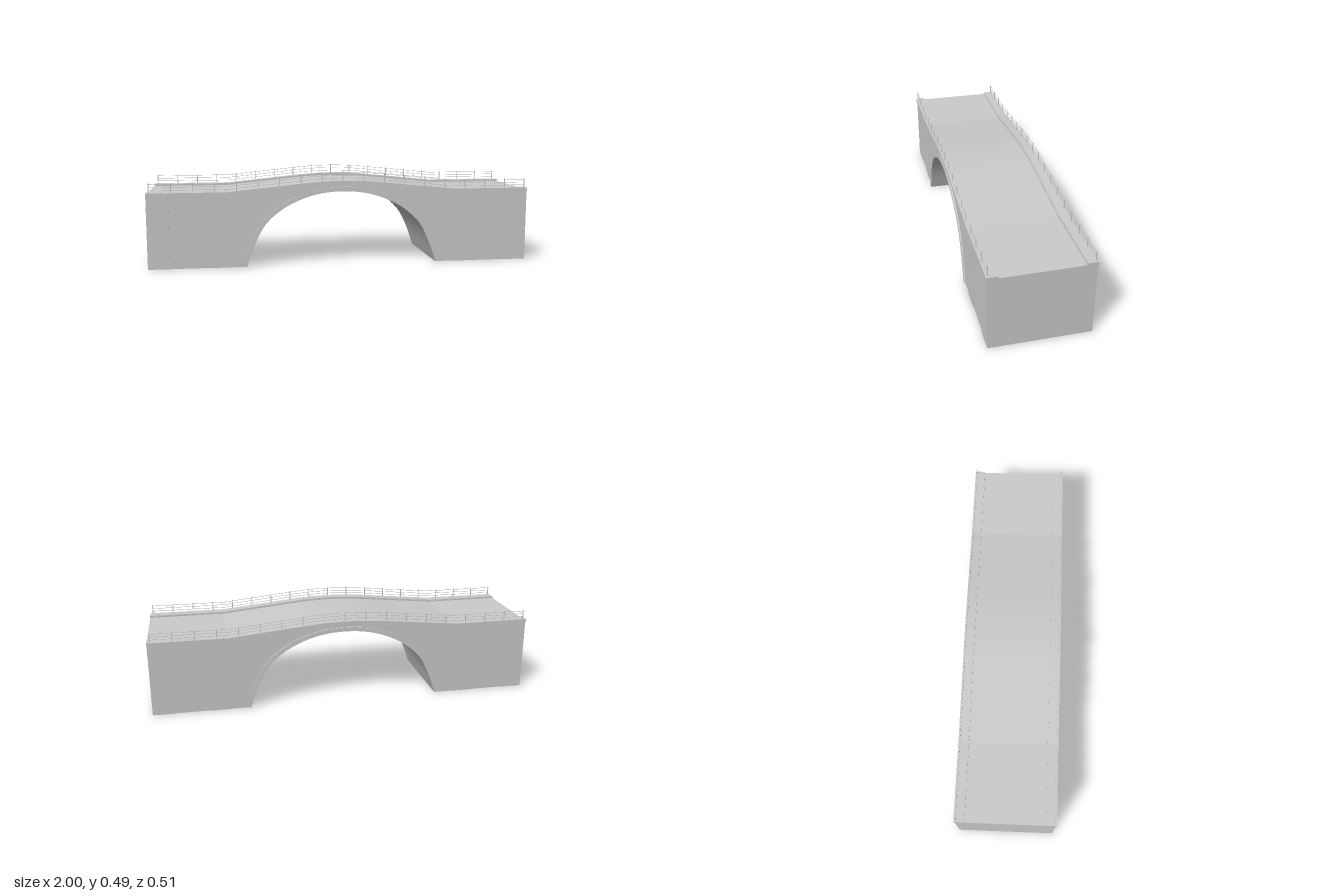
import * as THREE from 'three';

const material = new THREE.MeshStandardMaterial({ color: 0xcccccc, flatShading: true });

// Height of the kerb top: level ends, straight ramps, rounded crown
function crest(x) {
  const a = Math.abs(x);
  if (a >= 0.6) return 0.39;
  if (a >= 0.2) return 0.39 + (0.6 - a) * 0.1;
  return 0.44 - 0.25 * a * a;
}

// Stations along the bridge where the crest changes direction
const stations = [-1, -0.6];
for (let i = -8; i <= 8; i++) stations.push(i * 0.025);
stations.push(0.6, 1);

// Half arch from springing to crown, mirrored into a full span
const half = [[0.5, 0], [0.452, 0.13], [0.4, 0.222], [0.31, 0.3], [0.2, 0.353], [0.1, 0.378]];
const archPoints = [...half, [0, 0.385], ...half.map(([x, y]) => [-x, y]).reverse()];
const archCurve = new THREE.CatmullRomCurve3(archPoints.map(([x, y]) => new THREE.Vector3(x, y, 0)));
const intrados = archCurve.getPoints(36).map((p) => new THREE.Vector2(p.x, p.y));

// The arch line pushed outwards along its normals
function offsetArch(d) {
  return intrados.map((p, i) => {
    const a = intrados[Math.max(i - 1, 0)];
    const b = intrados[Math.min(i + 1, intrados.length - 1)];
    const t = b.clone().sub(a).normalize();
    return new THREE.Vector2(p.x + t.y * d, Math.max(0, p.y - t.x * d));
  });
}

function slab(name, points, z0, z1) {
  const geometry = new THREE.ExtrudeGeometry(new THREE.Shape(points), { depth: z1 - z0, bevelEnabled: false });
  geometry.translate(0, 0, z0);
  const mesh = new THREE.Mesh(geometry, material);
  mesh.name = name;
  return mesh;
}

// A strip that follows the crest between two vertical offsets
function strip(name, low, high, z0, z1) {
  const bottom = stations.map((x) => new THREE.Vector2(x, crest(x) + low));
  const top = stations.map((x) => new THREE.Vector2(x, crest(x) + high)).reverse();
  return slab(name, [...bottom, ...top], z0, z1);
}

function box(name, w, h, d, x, y, z) {
  const mesh = new THREE.Mesh(new THREE.BoxGeometry(w, h, d), material);
  mesh.position.set(x, y, z);
  mesh.name = name;
  return mesh;
}

export function createModel() {
  const bridge = new THREE.Group();
  bridge.name = 'archBridge';

  // Solid body: roadway on top, arch opening below
  const roadway = stations.map((x) => new THREE.Vector2(x, crest(x) - 0.01));
  const outline = [
    new THREE.Vector2(-1, 0), ...intrados.slice().reverse(), new THREE.Vector2(1, 0), ...roadway.reverse(),
  ];
  bridge.add(slab('body', outline, -0.246, 0.246));

  for (const side of [1, -1]) {
    const sideGroup = new THREE.Group();
    sideGroup.name = side > 0 ? 'frontSide' : 'backSide';
    const span = (a, b) => (side > 0 ? [a, b] : [-b, -a]);

    // Raised arch ring with a slimmer outer lip
    sideGroup.add(slab('archRing', [...intrados, ...offsetArch(0.024).reverse()], ...span(0.24, 0.251)));
    sideGroup.add(slab('archRingFace', [...offsetArch(0.003), ...offsetArch(0.02).reverse()], ...span(0.25, 0.254)));

    // Kerb beam with a small chamfer step on the road side
    sideGroup.add(strip('kerb', -0.02, 0, ...span(0.203, 0.254)));
    sideGroup.add(strip('kerbStep', -0.02, -0.003, ...span(0.2, 0.204)));

    // Shallow pilasters on both abutments
    for (const end of [1, -1]) {
      sideGroup.add(box('innerPilaster', 0.105, 0.372, 0.01, end * 0.6525, 0.186, side * 0.244));
      sideGroup.add(box('endPilaster', 0.11, 0.372, 0.01, end * 0.945, 0.186, side * 0.244));
    }

    // Railing: posts and three thin rails
    const railing = new THREE.Group();
    railing.name = 'railing';
    for (let i = 0; i < 19; i++) {
      const x = -0.985 + (i * 1.97) / 18;
      railing.add(box('post', 0.004, 0.05, 0.004, x, crest(x) + 0.024, side * 0.244));
    }
    for (const h of [0.014, 0.029, 0.044]) {
      const rail = strip('rail', h - 0.001, h + 0.001, ...span(0.243, 0.245));
      rail.scale.x = 0.985;
      railing.add(rail);
    }
    sideGroup.add(railing);
    bridge.add(sideGroup);
  }
  return bridge;
}
